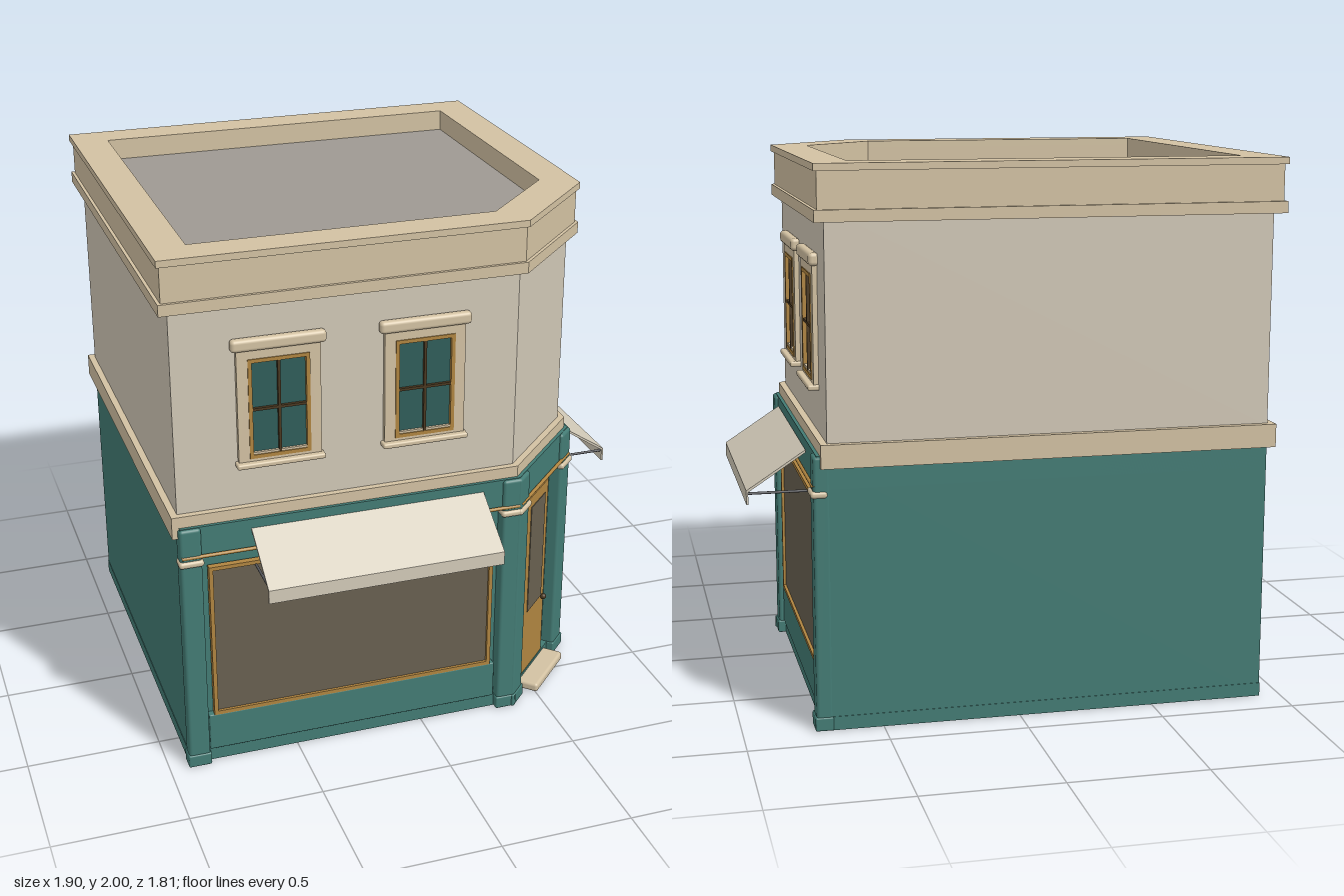
import * as THREE from 'three';
import { RoundedBoxGeometry } from 'three/addons/geometries/RoundedBoxGeometry.js';

const mat = (color) => new THREE.MeshStandardMaterial({ color });
const TEAL = mat(0x437b74), WALL = mat(0xd0c7b6), TRIM = mat(0xd2c1a2), GOLD = mat(0xb08540);
const PANE = mat(0x2f5d5a), SHOP_GLASS = mat(0x686050), DARK = mat(0x4a3820);
const CANVAS = mat(0xd2cab8), ROOF = mat(0x9e9992), METAL = mat(0x55565a);

function add(parent, name, geometry, material) {
  const mesh = new THREE.Mesh(geometry, material);
  mesh.name = name;
  parent.add(mesh);
  return mesh;
}

// Box given by its limits, with optional rounded edges
function box(parent, name, material, [x0, x1], [y0, y1], [z0, z1], r = 0) {
  const size = [x1 - x0, y1 - y0, z1 - z0];
  const geo = r ? new RoundedBoxGeometry(...size, 3, r) : new THREE.BoxGeometry(...size);
  const mesh = add(parent, name, geo, material);
  mesh.position.set((x0 + x1) / 2, (y0 + y1) / 2, (z0 + z1) / 2);
  return mesh;
}

// Rectangular frame with an opening
function frame(parent, name, material, [x0, x1], [y0, y1], [z0, z1], t) {
  const rect = (d) => [[x0 + d, y0 + d], [x1 - d, y0 + d], [x1 - d, y1 - d], [x0 + d, y1 - d]]
    .map((p) => new THREE.Vector2(...p));
  const shape = new THREE.Shape(rect(0));
  shape.holes.push(new THREE.Path(rect(t)));
  const geo = new THREE.ExtrudeGeometry(shape, { depth: z1 - z0, bevelEnabled: false });
  return add(parent, name, geo.translate(0, 0, z0), material);
}

function rod(parent, name, material, a, b, r) {
  const path = new THREE.LineCurve3(new THREE.Vector3(...a), new THREE.Vector3(...b));
  return add(parent, name, new THREE.TubeGeometry(path, 1, r, 10), material);
}

// Building plan with one cut corner, moved outward by o
function plan(o, cut = 0, back = o) {
  const x0 = -0.92 - back, x1 = 0.69 + o, z0 = -0.87 - back, z1 = 0.65 + o;
  const sum = 1.01 + o * Math.SQRT2 - cut;
  return [[x0, z0], [x0, z1], [sum - z1, z1], [x1, sum - x1], [x1, z0]]
    .map(([x, z]) => new THREE.Vector2(x, -z));
}

function slab(parent, name, material, y0, y1, points, hole) {
  const shape = new THREE.Shape(points);
  if (hole) shape.holes.push(new THREE.Path(hole));
  const geo = new THREE.ExtrudeGeometry(shape, { depth: y1 - y0, bevelEnabled: false });
  geo.rotateX(-Math.PI / 2).translate(0, y0, 0);
  return add(parent, name, geo, material);
}

// Group lying on a wall: local x along it, local z outward
function facade(parent, name, x, z, turn) {
  const g = new THREE.Group();
  g.name = name;
  g.position.set(x, 0, z);
  g.rotation.y = turn;
  parent.add(g);
  return g;
}

function pilaster(parent, u0, u1) {
  box(parent, 'pilaster', TEAL, [u0, u1], [0, 0.995], [-0.01, 0.05], 0.012);
  box(parent, 'pilasterBase', TEAL, [u0 - 0.004, u1 + 0.004], [0, 0.05], [-0.01, 0.055], 0.006);
  box(parent, 'pilasterCapital', TRIM, [u0 - 0.006, u1 + 0.006], [0.847, 0.872], [0, 0.06], 0.011);
}

function shopWindow(parent, u0, u1) {
  const inner = [u0 + 0.015, u1 - 0.015];
  box(parent, 'shopGlass', SHOP_GLASS, inner, [0.21, 0.81], [0, 0.024]);
  frame(parent, 'shopWindowFrame', GOLD, [u0, u1], [0.2, 0.825], [0.01, 0.035], 0.015);
  box(parent, 'stallRiser', TEAL, [u0 - 0.02, u1 + 0.02], [0.05, 0.2], [0, 0.032], 0.005);
}

function awning(parent, u0, u1) {
  // Sloping cover with a hanging valance, drawn as a side profile
  const profile = [[0.04, 0.962], [0.255, 0.822], [0.255, 0.77], [0.248, 0.77], [0.248, 0.816], [0.04, 0.952]];
  const shape = new THREE.Shape(profile.map(([z, y]) => new THREE.Vector2(-z, y)));
  const geo = new THREE.ExtrudeGeometry(shape, { depth: u1 - u0, bevelEnabled: false });
  geo.rotateY(Math.PI / 2).translate(u0, 0, 0);
  add(parent, 'awningCover', geo, CANVAS);
  for (const u of [u0 + 0.015, u1 - 0.015]) {
    rod(parent, 'awningArm', METAL, [u, 0.808, 0.02], [u, 0.808, 0.25], 0.005);
  }
}

function upperWindow(parent, u) {
  const span = (h) => [u - h, u + h];
  frame(parent, 'windowCasing', TRIM, span(0.152), [1.205, 1.64], [-0.005, 0.018], 0.042);
  box(parent, 'windowPane', PANE, span(0.1), [1.23, 1.595], [-0.005, 0.008]);
  frame(parent, 'windowFrame', GOLD, span(0.112), [1.225, 1.602], [0, 0.022], 0.014);
  box(parent, 'windowMullion', DARK, span(0.005), [1.235, 1.59], [0, 0.02]);
  box(parent, 'windowCrossbar', DARK, span(0.1), [1.406, 1.416], [0, 0.02]);
  box(parent, 'windowLintel', TRIM, span(0.172), [1.634, 1.68], [-0.005, 0.032], 0.014);
  box(parent, 'windowSill', TRIM, span(0.162), [1.194, 1.214], [-0.005, 0.04], 0.007);
}

export function createModel() {
  const model = new THREE.Group();
  model.name = 'cornerShop';

  // Main storeys
  slab(model, 'groundFloor', TEAL, 0, 0.97, plan(0));
  slab(model, 'plinth', TEAL, 0, 0.05, plan(0.025, 0, 0.002));
  slab(model, 'fascia', TEAL, 0.877, 0.997, plan(0.038, 0, 0));
  slab(model, 'floorBand', TRIM, 0.955, 1.04, plan(0.025));
  slab(model, 'upperWalls', WALL, 1.03, 1.85, plan(0));

  // Cornice, parapet and sunken roof
  const inside = plan(-0.095, 0.02);
  slab(model, 'corniceLowerLip', TRIM, 1.803, 1.845, plan(0.038));
  slab(model, 'parapet', TRIM, 1.845, 1.975, plan(0.026), inside);
  slab(model, 'parapetCoping', TRIM, 1.975, 2, plan(0.038), inside);
  slab(model, 'roof', ROOF, 1.845, 1.92, inside);

  const front = facade(model, 'frontFacade', 0, 0.65, 0);
  const side = facade(model, 'sideFacade', 0.69, 0, Math.PI / 2);
  const corner = facade(model, 'cornerFacade', 0.525, 0.485, Math.PI / 4);

  // Front street side
  pilaster(front, -0.925, -0.845);
  pilaster(front, 0.308, 0.385);
  shopWindow(front, -0.82, 0.28);
  awning(front, -0.66, 0.23);
  [-0.54, 0].forEach((u) => upperWindow(front, u));

  // Second street side
  pilaster(side, -0.34, -0.263);
  pilaster(side, 0.79, 0.872);
  shopWindow(side, -0.24, 0.768);
  awning(side, -0.23, 0.6);
  [0.038, 0.537].forEach((u) => upperWindow(side, u));

  // Corner entrance
  pilaster(corner, -0.262, -0.17);
  pilaster(corner, 0.17, 0.262);
  box(corner, 'door', GOLD, [-0.106, 0.106], [0.05, 0.83], [0, 0.022]);
  box(corner, 'doorGlass', SHOP_GLASS, [-0.073, 0.073], [0.32, 0.785], [0, 0.025]);
  const knob = add(corner, 'doorKnob', new THREE.SphereGeometry(0.012, 14, 10), DARK);
  knob.position.set(0.078, 0.315, 0.033);
  box(corner, 'doorStep', TRIM, [-0.14, 0.14], [0.004, 0.04], [0.01, 0.105], 0.012);

  // Gold moulding under the fascia
  for (const [g, u0, u1] of [[front, -0.92, 0.375], [side, -0.335, 0.87], [corner, -0.25, 0.25]]) {
    rod(g, 'fasciaMoulding', GOLD, [u0, 0.884, 0.047], [u1, 0.884, 0.047], 0.007);
  }

  return model;
}
